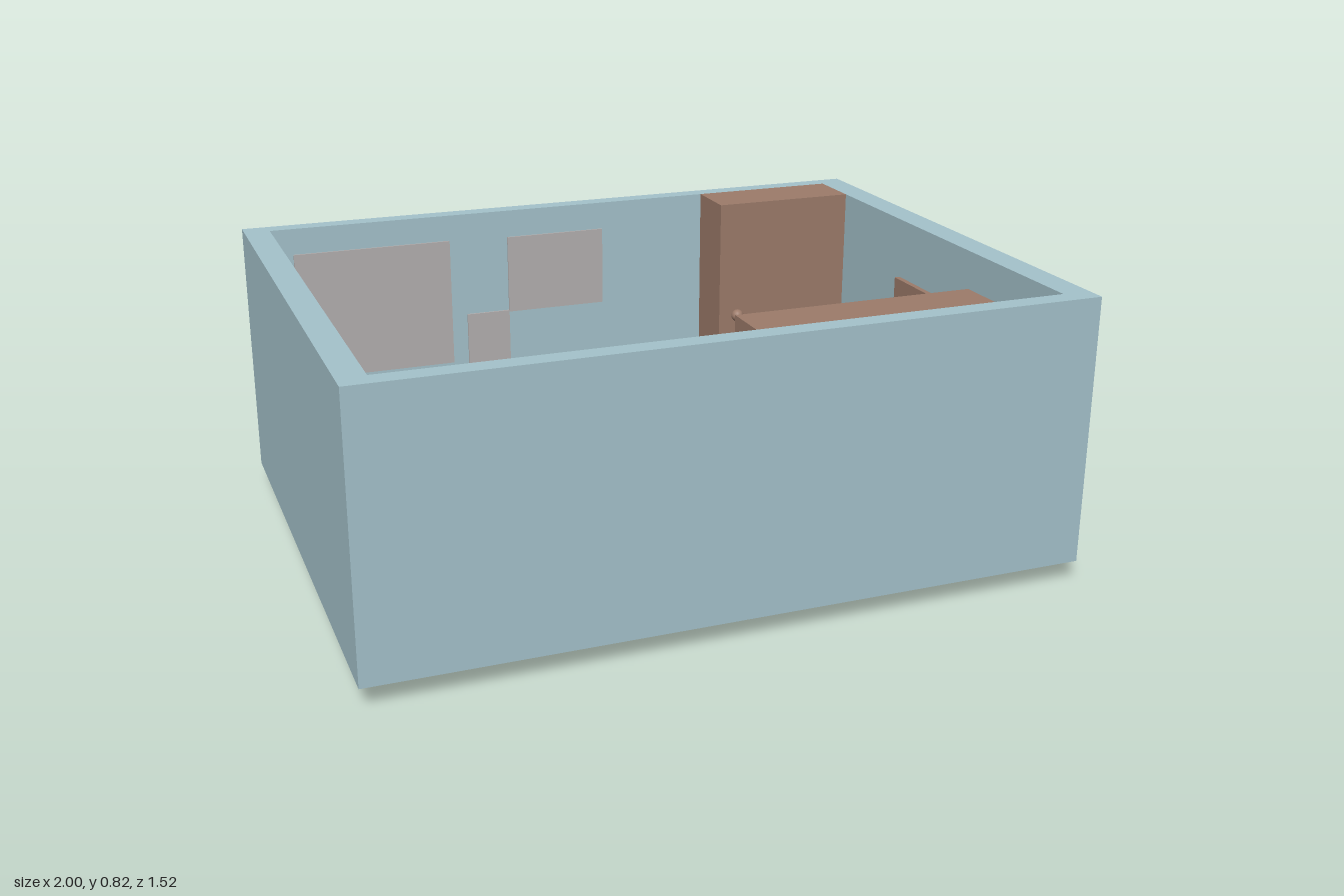
import * as THREE from 'three';

const material = (name, color) => {
  const m = new THREE.MeshStandardMaterial({ color });
  m.name = name;
  return m;
};

export function createModel() {
  const room = new THREE.Group();
  room.name = 'bedroom';
  const teal = material('paleTeal', 0xa4c2cb);
  const brown = material('woodBrown', 0x9c7b6a);
  const peach = material('peachFabric', 0xcb9d85);
  const grey = material('posterGrey', 0xb3afaf);
  const FLOOR = 0.1;

  const add = (name, geometry, mat, parent = room) => {
    const mesh = new THREE.Mesh(geometry, mat);
    mesh.name = name;
    parent.add(mesh);
    return mesh;
  };
  const group = (name) => {
    const g = new THREE.Group();
    g.name = name;
    room.add(g);
    return g;
  };
  // Box given by its limits on each axis
  const box = (name, [x0, x1], [y0, y1], [z0, z1], mat, parent) => {
    const g = new THREE.BoxGeometry(x1 - x0, y1 - y0, z1 - z0);
    g.translate((x0 + x1) / 2, (y0 + y1) / 2, (z0 + z1) / 2);
    return add(name, g, mat, parent);
  };
  // Slab with rounded corners in plan and an optional soft edge
  const slab = (name, [x0, x1], [y0, y1], [z0, z1], r, bevel, mat, parent) => {
    const a = x0 + bevel, b = x1 - bevel, c = -z1 + bevel, d = -z0 - bevel;
    const s = new THREE.Shape();
    s.moveTo(a + r, c);
    s.lineTo(b - r, c);
    s.absarc(b - r, c + r, r, -Math.PI / 2, 0);
    s.absarc(b - r, d - r, r, 0, Math.PI / 2);
    s.absarc(a + r, d - r, r, Math.PI / 2, Math.PI);
    s.absarc(a + r, c + r, r, Math.PI, Math.PI * 1.5);
    const g = new THREE.ExtrudeGeometry(s, {
      depth: y1 - y0 - 2 * bevel, curveSegments: 6,
      bevelEnabled: bevel > 0, bevelSize: bevel, bevelThickness: bevel, bevelSegments: 4,
    });
    g.rotateX(-Math.PI / 2);
    g.translate(0, y0 + bevel, 0);
    return add(name, g, mat, parent);
  };
  const knob = (x, y, z, parent, r = 0.017) => {
    const g = new THREE.SphereGeometry(r, 16, 12);
    g.translate(x, y, z);
    return add('knob', g, brown, parent);
  };

  // Walls and floor
  const outline = new THREE.Shape([[-1, -0.76], [1, -0.76], [1, 0.76], [-1, 0.76]]
    .map(([x, y]) => new THREE.Vector2(x, y)));
  outline.holes.push(new THREE.Path([[-0.925, -0.703], [-0.925, 0.708], [0.92, 0.708], [0.92, -0.703]]
    .map(([x, y]) => new THREE.Vector2(x, y))));
  const walls = new THREE.ExtrudeGeometry(outline, { depth: 0.76, bevelEnabled: false });
  walls.rotateX(-Math.PI / 2);
  walls.translate(0, 0.06, 0);
  add('walls', walls, teal);
  box('floor', [-0.925, 0.92], [0.06, FLOOR], [-0.708, 0.703], teal);
  box('carpet', [-0.82, 0.705], [FLOOR, FLOOR + 0.008], [-0.46, 0.455], peach);

  // Bed
  const bed = group('bed');
  slab('bedFrame', [-0.96, -0.11], [0, 0.155], [-0.74, -0.258], 0.03, 0, brown, bed);
  slab('mattress', [-0.945, -0.13], [0.12, 0.19], [-0.72, -0.283], 0.02, 0.018, teal, bed);
  slab('blanket', [-0.755, -0.165], [0.17, 0.225], [-0.69, -0.31], 0.018, 0.01, peach, bed);

  // Pillow: a sphere pushed into a cushion with pinched corners, leaning on the wall
  const cushion = new THREE.SphereGeometry(1, 40, 28);
  const p = cushion.attributes.position;
  const boxy = (v) => Math.sign(v) * Math.pow(Math.abs(v), 0.5);
  for (let i = 0; i < p.count; i++) {
    const x = boxy(p.getX(i)), z = boxy(p.getZ(i));
    const pinch = 0.86 + 0.14 * z * z;
    p.setXYZ(i, x * 0.105 * pinch, p.getY(i) * 0.045, z * 0.185 * (0.95 + 0.05 * x * x));
  }
  cushion.computeVertexNormals();
  const pillow = add('pillow', cushion, peach, bed);
  pillow.position.set(-0.885, 0.25, -0.5);
  pillow.rotation.z = -0.6;

  // Nightstand with a drawer
  const stand = group('nightstand');
  box('nightstandBody', [-0.925, -0.77], [FLOOR, 0.24], [-0.258, -0.103], brown, stand);
  box('drawerFront', [-0.77, -0.76], [0.14, 0.225], [-0.237, -0.124], brown, stand);
  knob(-0.757, 0.185, -0.18, stand, 0.011);

  // Lamp: base, stem, bulb and an open shade
  const lamp = group('lamp');
  lamp.position.set(-0.835, 0.24, -0.18);
  const lathe = (name, points, mat) =>
    add(name, new THREE.LatheGeometry(points.map(([x, y]) => new THREE.Vector2(x, y)), 32), mat, lamp);
  add('lampBase', new THREE.CylinderGeometry(0.045, 0.045, 0.014, 32).translate(0, 0.007, 0), teal, lamp);
  add('lampStem', new THREE.CylinderGeometry(0.008, 0.008, 0.1, 16).translate(0, 0.06, 0), teal, lamp);
  add('lampBulb', new THREE.SphereGeometry(0.015, 16, 12).translate(0, 0.115, 0), teal, lamp);
  lathe('lampShade', [[0.042, 0.17], [0.042, 0.06], [0.048, 0.06], [0.048, 0.17], [0.042, 0.17]], teal);

  // Desk and the shelf above it
  const desk = group('desk');
  box('deskTop', [-0.925, -0.732], [0.33, 0.36], [0.16, 0.703], brown, desk);
  for (const z of [0.16, 0.673])
    box('deskSide', [-0.925, -0.74], [FLOOR, 0.33], [z, z + 0.03], brown, desk);
  const mouse = add('mouse', new THREE.SphereGeometry(1, 20, 12), brown, desk);
  mouse.scale.set(0.024, 0.014, 0.015);
  mouse.position.set(-0.772, 0.366, 0.3);
  box('wallShelf', [-0.925, -0.82], [0.57, 0.6], [0.15, 0.703], brown);

  // Bookcase with open shelves
  const bookcase = group('bookcase');
  for (const x of [0.038, 0.682])
    box('bookcaseSide', [x, x + 0.03], [FLOOR, 0.82], [0.573, 0.703], brown, bookcase);
  for (const y of [0.1, 0.285, 0.495, 0.665, 0.795])
    box('bookcaseShelf', [0.068, 0.682], [y, y + 0.025], [0.573, 0.703], brown, bookcase);

  // Wardrobe
  const wardrobe = group('wardrobe');
  box('wardrobeBody', [0.475, 0.92], [FLOOR, 0.82], [-0.708, -0.537], brown, wardrobe);
  knob(0.535, 0.45, -0.526, wardrobe, 0.02);

  // Door
  const door = group('door');
  box('doorPanel', [0.903, 0.92], [FLOOR, 0.64], [-0.157, 0.17], brown, door);
  knob(0.892, 0.36, 0.115, door);

  // Posters on the back wall
  const posters = [
    [[-0.86, -0.375], [0.34, 0.74]],
    [[-0.325, -0.187], [0.285, 0.495]],
    [[-0.187, 0.13], [0.49, 0.735]],
  ];
  for (const [x, y] of posters) box('poster', x, y, [-0.709, -0.702], grey);

  return room;
}
